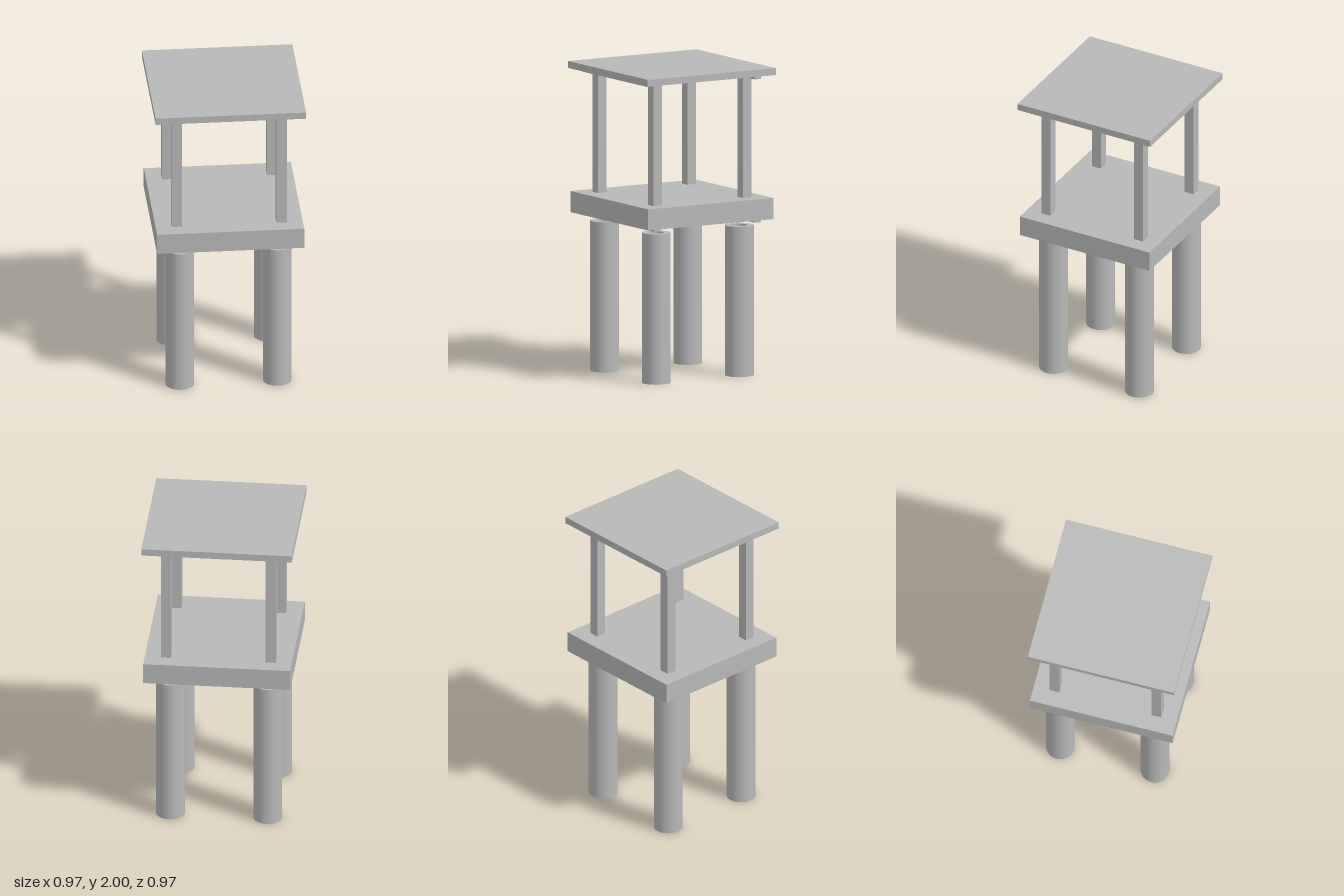
import * as THREE from 'three';

export function createModel() {
  const model = new THREE.Group();
  const grey = new THREE.MeshStandardMaterial({ name: 'grey', color: 0xb8b8b8 });

  const add = (name, geometry, x, y, z) => {
    const mesh = new THREE.Mesh(geometry, grey);
    mesh.name = name;
    mesh.position.set(x, y, z);
    model.add(mesh);
  };
  // Box spanning y0..y1
  const addBox = (name, w, d, y0, y1, x = 0, z = 0) =>
    add(name, new THREE.BoxGeometry(w, y1 - y0, d), x, (y0 + y1) / 2, z);

  // Roof and platform slabs
  addBox('roof', 0.97, 0.97, 1.955, 2);
  addBox('platform', 0.948, 0.948, 1.02, 1.157);

  // Hollow leg: a ring profile extruded upward
  const ring = new THREE.Shape().absarc(0, 0, 0.0925, 0, Math.PI * 2);
  ring.holes.push(new THREE.Path().absarc(0, 0, 0.05, 0, Math.PI * 2, true));
  const leg = new THREE.ExtrudeGeometry(ring, { depth: 0.975, bevelEnabled: false, curveSegments: 48 });
  leg.rotateX(-Math.PI / 2);
  smoothSides(leg);

  for (const sz of [1, -1]) {
    // Mounting strips under each slab
    addBox('roofStrip', 0.864, 0.048, 1.93, 1.955, 0, sz * 0.38);
    addBox('platformStrip', 0.864, 0.048, 1.0, 1.02, 0, sz * 0.38);
    for (const sx of [1, -1]) {
      addBox('post', 0.066, 0.066, 1.157, 1.955, sx * 0.338, sz * 0.338);
      add('leg', leg, sx * 0.314, 0, sz * 0.314);
    }
  }
  return model;
}

// Radial normals on the curved walls, flat ones on the end rings
function smoothSides(geometry) {
  const p = geometry.attributes.position, n = geometry.attributes.normal;
  for (let i = 0; i < p.count; i++) {
    if (Math.abs(n.getY(i)) > 0.5) continue;
    const x = p.getX(i), z = p.getZ(i), r = Math.hypot(x, z);
    const s = r > 0.07 ? 1 / r : -1 / r;
    n.setXYZ(i, x * s, 0, z * s);
  }
}
